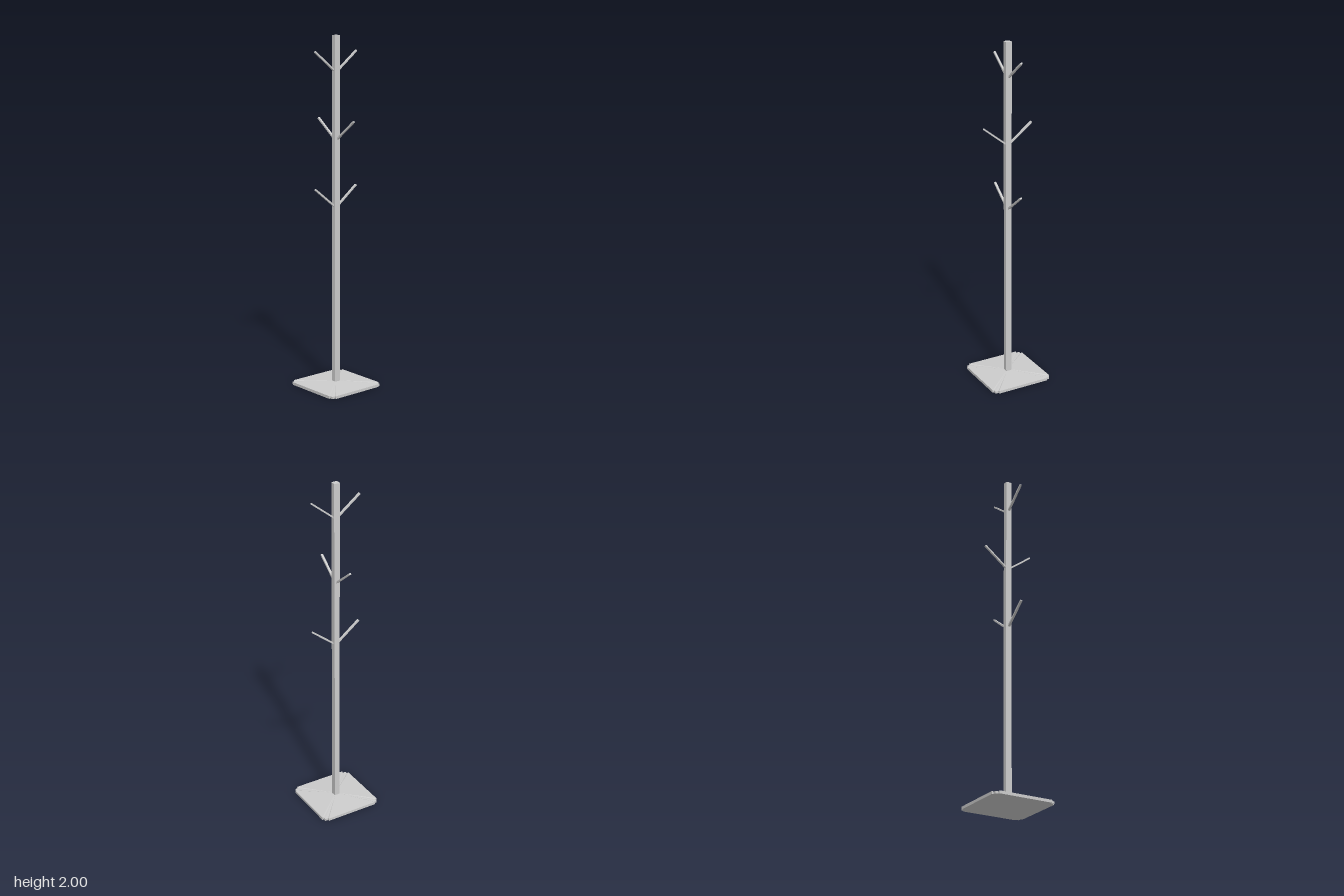
import * as THREE from 'three';

const material = new THREE.MeshStandardMaterial({ color: 0xcccccc, flatShading: true });

// Square outline with a small step cut in each corner, counter-clockwise in (x, z).
// e: half width, s: where the flat side ends, c: corner position
function steppedSquare(e, s, c) {
  const corner = [[e, s], [c, s], [c, c], [s, c], [s, e]];
  const points = [];
  for (let i = 0; i < 4; i++) {
    for (const [x, z] of corner) {
      const turn = [[x, z], [-z, x], [-x, -z], [z, -x]][i];
      points.push(new THREE.Vector2(...turn));
    }
  }
  return points;
}

// Skin between stacked outlines; the first and last rings are closed with caps.
function loft(rings) {
  const n = rings[0].points.length;
  const positions = [];
  const index = [];
  for (const { points, y, drop = 0 } of rings) {
    points.forEach((p, i) => {
      const inStep = i % 5 >= 1 && i % 5 <= 3;
      positions.push(p.x, y - (inStep ? drop : 0), p.y);
    });
  }
  for (let r = 0; r < rings.length - 1; r++) {
    for (let i = 0; i < n; i++) {
      const a = r * n + i, b = r * n + (i + 1) % n;
      index.push(a, a + n, b, b, a + n, b + n);
    }
  }
  const top = (rings.length - 1) * n;
  for (const [a, b, c] of THREE.ShapeUtils.triangulateShape(rings[0].points, [])) index.push(a, b, c);
  for (const [a, b, c] of THREE.ShapeUtils.triangulateShape(rings.at(-1).points, [])) {
    index.push(top + a, top + c, top + b);
  }
  const geometry = new THREE.BufferGeometry();
  geometry.setAttribute('position', new THREE.Float32BufferAttribute(positions, 3));
  geometry.setIndex(index);
  geometry.computeVertexNormals();
  return geometry;
}

function addMesh(parent, name, geometry) {
  const mesh = new THREE.Mesh(geometry, material);
  mesh.name = name;
  parent.add(mesh);
  return mesh;
}

export function createModel() {
  const model = new THREE.Group();
  model.name = 'coatStand';

  // Low pyramid foot with grooves running to the corners
  const foot = steppedSquare(0.188, 0.16, 0.178);
  const collar = steppedSquare(0.02, 0.016, 0.018);
  addMesh(model, 'base', loft([
    { points: foot, y: 0 },
    { points: foot, y: 0.016, drop: 0.003 },
    { points: collar, y: 0.027 },
  ]));

  // Upright post
  const post = steppedSquare(0.0175, 0.014, 0.016);
  addMesh(model, 'post', loft([{ points: post, y: 0.01 }, { points: post, y: 2 }]));

  // Three pairs of rising pegs, each pair turned a quarter from the last
  const inner = new THREE.Vector2(0.006, 0.008);
  const outer = new THREE.Vector2(0.149, 0.119);
  const span = outer.clone().sub(inner);
  [1.037, 1.415, 1.793].forEach((y, level) => {
    const pair = new THREE.Group();
    pair.name = 'pegPair' + (level + 1);
    pair.position.y = y;
    pair.rotation.y = (level % 2) * Math.PI / 2;
    for (const side of [1, -1]) {
      const peg = addMesh(pair, 'peg', new THREE.BoxGeometry(span.length(), 0.009, 0.0125));
      peg.position.set(side * (inner.x + outer.x) / 2, (inner.y + outer.y) / 2, 0);
      peg.rotation.z = side * span.angle();
    }
    model.add(pair);
  });

  return model;
}
